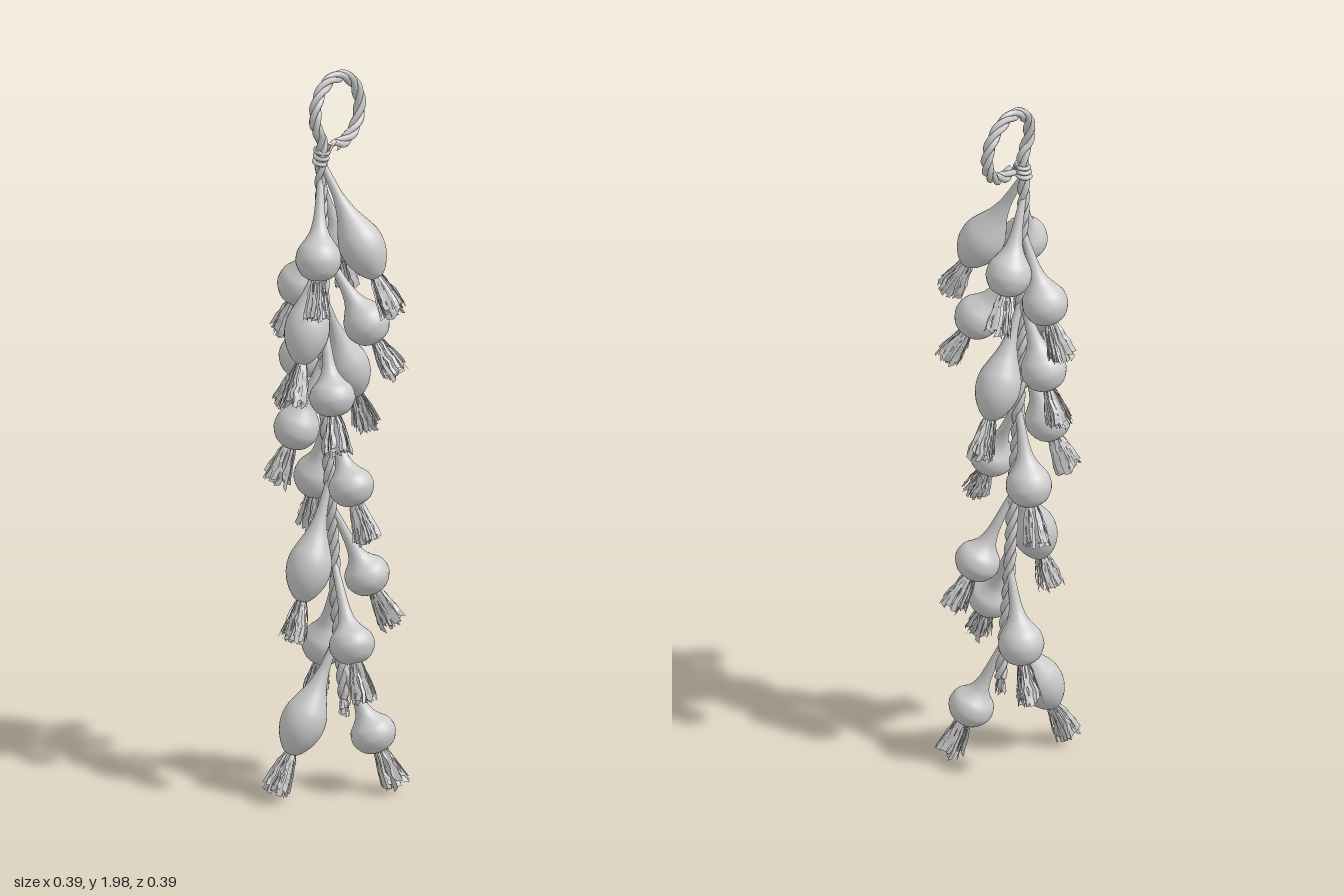
import * as THREE from 'three';

const V = (x, y, z) => new THREE.Vector3(x, y, z);
const skin = new THREE.MeshStandardMaterial({ color: 0xcccccc });
const fibre = new THREE.MeshStandardMaterial({ color: 0xcccccc, side: THREE.DoubleSide, flatShading: true });

// Seeded random numbers
let seed = 7;
function rnd(a = 0, b = 1) {
  seed = (seed * 16807) % 2147483647;
  return a + (b - a) * (seed / 2147483647);
}

// Centre line of the hanging rope at height y
const spine = (y) => V(0.022 - 0.029 * y + 0.003 * Math.sin(y * 9), y, y < 0.95 ? -0.065 * (0.95 - y) : 0);

// Bulb profiles: [radius, distance along the axis from the centre], root end first
const PROFILES = {
  flat: [[0.001, -0.047], [0.02, -0.048], [0.042, -0.037], [0.057, -0.015], [0.06, 0.003],
    [0.054, 0.025], [0.038, 0.043], [0.025, 0.062], [0.017, 0.09], [0.013, 0.13]],
  round: [[0.001, -0.054], [0.02, -0.053], [0.043, -0.04], [0.057, -0.016], [0.06, 0.003],
    [0.055, 0.027], [0.041, 0.048], [0.027, 0.07], [0.018, 0.1], [0.013, 0.14]],
  long: [[0.001, -0.09], [0.018, -0.085], [0.036, -0.066], [0.052, -0.036], [0.059, -0.004],
    [0.056, 0.03], [0.043, 0.063], [0.028, 0.098], [0.018, 0.135], [0.013, 0.17]],
};

// [type, x, y, z]
const BULBS = [
  ['long', 0.09, 1.55, -0.03], ['round', 0.027, 1.53, 0.075], ['round', -0.045, 1.52, -0.09],
  ['round', -0.097, 1.41, 0], ['long', 0, 1.33, 0.09], ['round', 0.088, 1.33, -0.05],
  ['round', -0.092, 1.21, 0], ['flat', 0.045, 1.14, 0.04], ['long', -0.01, 1.17, -0.09],
  ['round', -0.068, 1.03, 0.05], ['flat', 0.083, 0.89, 0.008], ['round', -0.07, 0.87, -0.035],
  ['long', -0.006, 0.66, 0.075], ['flat', 0.068, 0.615, -0.075], ['flat', 0.095, 0.455, 0.02],
  ['round', -0.06, 0.4, -0.055], ['long', -0.033, 0.22, 0.067], ['flat', 0.085, 0.175, -0.08],
];

// Flaring bundle of crinkled root strips, hanging down from y = top to about y = bottom
function tassel(top, bottom, r0, r1, count) {
  const pos = [], index = [], steps = 6;
  for (let i = 0; i < count; i++) {
    const angle = i * 2.39996, spread = Math.sqrt((i + 0.5) / count);
    const end = bottom + rnd(-0.008, 0.016), turn = rnd(-0.9, 0.9), width = rnd(0.004, 0.008);
    const side = V(Math.cos(angle + Math.PI / 2 + turn), 0, Math.sin(angle + Math.PI / 2 + turn));
    const base = pos.length / 3;
    for (let j = 0; j <= steps; j++) {
      const t = j / steps;
      const r = spread * (r0 + (r1 - r0) * Math.pow(t, 0.8)) + rnd(-0.002, 0.002);
      const a = angle + rnd(-0.12, 0.12);
      const p = V(r * Math.cos(a), top + (end - top) * t, r * Math.sin(a));
      for (const s of [-1, 1]) {
        const q = p.clone().addScaledVector(side, s * width * (0.5 + 0.6 * t));
        const ragged = j === steps ? rnd(-0.009, 0.004) : 0;
        pos.push(q.x, q.y + ragged, q.z);
      }
      if (j < steps) {
        const k = base + j * 2;
        index.push(k, k + 2, k + 1, k + 1, k + 2, k + 3);
      }
    }
  }
  const geo = new THREE.BufferGeometry();
  geo.setAttribute('position', new THREE.Float32BufferAttribute(pos, 3));
  geo.setIndex(index);
  geo.computeVertexNormals();
  const mesh = new THREE.Mesh(geo, fibre);
  mesh.name = 'roots';
  return mesh;
}

// Bulb with its neck reaching the rope and a tassel of roots below
function bulb(type, x, y, z) {
  const centre = V(x, y, z);
  const axis = spine(y + (type === 'long' ? 0.23 : 0.2)).sub(centre);
  const profile = PROFILES[type].map(([r, s]) => new THREE.Vector2(r, s));
  profile.push(new THREE.Vector2(0.008, axis.length()));
  const body = new THREE.Mesh(
    new THREE.LatheGeometry(new THREE.SplineCurve(profile).getPoints(36), 28), skin);
  body.name = 'bulbBody';
  const start = profile[0].y;
  const group = new THREE.Group();
  group.name = 'bulb';
  group.add(body, tassel(start + 0.008, start - 0.098, 0.014, 0.037, 46));
  group.position.copy(centre);
  group.quaternion.setFromUnitVectors(V(0, 1, 0), axis.normalize());
  return group;
}

// Strands twisted about a path
function rope(path, strands, offset, radius, pitch, name) {
  const n = 400, group = new THREE.Group();
  group.name = name;
  const frames = path.computeFrenetFrames(n, false);
  const turns = path.getLength() / pitch;
  for (let s = 0; s < strands; s++) {
    const pts = [];
    for (let i = 0; i <= n; i++) {
      const a = (i / n) * turns * Math.PI * 2 + (s / strands) * Math.PI * 2;
      pts.push(path.getPointAt(i / n)
        .addScaledVector(frames.normals[i], offset * Math.cos(a))
        .addScaledVector(frames.binormals[i], offset * Math.sin(a)));
    }
    const mesh = new THREE.Mesh(
      new THREE.TubeGeometry(new THREE.CatmullRomCurve3(pts), n, radius, 7), skin);
    mesh.name = 'strand';
    group.add(mesh);
  }
  return group;
}

export function createModel() {
  const model = new THREE.Group();
  model.name = 'hangingBulbString';

  // Rope up the middle, ending in a hanging loop
  const path = [];
  for (let y = 0.27; y < 1.74; y += 0.12) path.push(spine(y));
  for (let d = -38; d <= 295; d += 18) {
    const a = THREE.MathUtils.degToRad(d);
    path.push(V(-0.027 - 0.007 * Math.sin(a), 1.892 + 0.091 * Math.sin(a), -0.068 + 0.091 * Math.cos(a)));
  }
  model.add(rope(new THREE.CatmullRomCurve3(path), 3, 0.0085, 0.0085, 0.13, 'rope'));

  // Wrapping where the loop meets the rope
  const wrap = [];
  for (let i = 0; i <= 30; i++) {
    const a = (i / 30) * Math.PI * 6;
    wrap.push(V(-0.027 + 0.017 * Math.cos(a), 1.765 + 0.045 * (i / 30), 0.001 - 0.008 * (i / 30) + 0.017 * Math.sin(a)));
  }
  const binding = new THREE.Mesh(
    new THREE.TubeGeometry(new THREE.CatmullRomCurve3(wrap), 90, 0.006, 6), skin);
  binding.name = 'loopBinding';
  model.add(binding);

  // Frayed rope ends
  const fray = tassel(0, -0.05, 0.01, 0.014, 14);
  fray.name = 'frayedRopeEnd';
  fray.position.copy(spine(0.28));
  const loopFray = tassel(0, -0.03, 0.008, 0.012, 10);
  loopFray.name = 'frayedLoopEnd';
  loopFray.position.set(-0.02, 1.81, -0.03);
  loopFray.rotation.x = -0.9;
  model.add(fray, loopFray);

  for (const b of BULBS) model.add(bulb(...b));
  return model;
}
